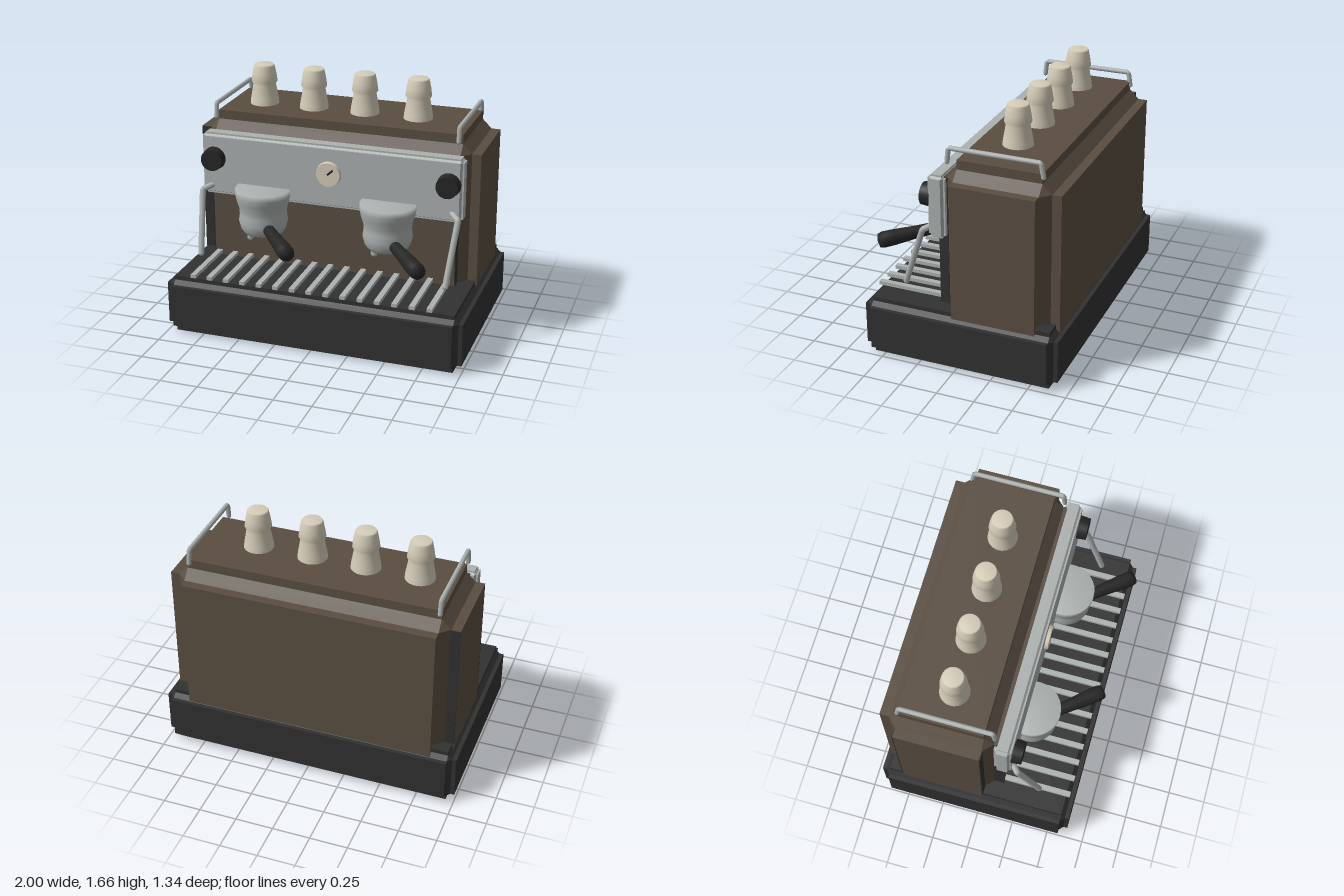
import * as THREE from 'three';
import { ConvexGeometry } from 'three/addons/geometries/ConvexGeometry.js';

const mat = (name, color) => {
  const m = new THREE.MeshStandardMaterial({ color });
  m.name = name;
  return m;
};

export function createModel() {
  const root = new THREE.Group();
  root.name = 'espressoMachine';
  const brown = mat('brown enamel', 0x5a4e42);
  const dark = mat('dark base', 0x313131);
  const steel = mat('steel', 0xacb2b1);
  const cream = mat('cream', 0xd6cdb9);
  const black = mat('black plastic', 0x262626);
  const V = (x, y, z) => new THREE.Vector3(x, y, z);

  function add(name, geometry, material, x = 0, y = 0, z = 0, parent = root) {
    const m = new THREE.Mesh(geometry, material);
    m.name = name;
    m.position.set(x, y, z);
    parent.add(m);
    return m;
  }

  // Box whose edges step inward by b, with a small chamfer inside each step
  function steppedBox(name, material, lo, hi, b) {
    const g = new THREE.Group();
    g.name = name;
    const size = hi.clone().sub(lo), mid = hi.clone().add(lo).multiplyScalar(0.5);
    const points = [];
    for (const axis of ['x', 'y', 'z']) {
      const s = size.clone().subScalar(2 * b);
      s[axis] = size[axis];
      add(name + 'Plates' + axis.toUpperCase(), new THREE.BoxGeometry(s.x, s.y, s.z), material, mid.x, mid.y, mid.z, g);
      s[axis] -= b;
      for (const i of [-0.5, 0.5]) for (const j of [-0.5, 0.5]) for (const k of [-0.5, 0.5])
        points.push(V(s.x * i, s.y * j, s.z * k));
    }
    add(name + 'Chamfer', new ConvexGeometry(points), material, mid.x, mid.y, mid.z, g);
    root.add(g);
  }

  // Round bar following straight runs between points
  function bar(name, points, r, material) {
    const path = new THREE.CurvePath();
    for (let i = 1; i < points.length; i++) path.add(new THREE.LineCurve3(points[i - 1], points[i]));
    add(name, new THREE.TubeGeometry(path, 48, r, 10), material);
    for (const p of [points[0], points[points.length - 1]])
      add(name + 'End', new THREE.SphereGeometry(r, 10, 8), material, p.x, p.y, p.z);
  }

  const lathe = (profile, n = 32) =>
    new THREE.LatheGeometry(profile.map(([r, y]) => new THREE.Vector2(r, y)), n);

  // Main housing
  steppedBox('base', dark, V(-1, 0, -0.675), V(1, 0.395, 0.63), 0.055);
  steppedBox('body', brown, V(-0.955, 0.2, -0.645), V(0.955, 1.385, 0.15), 0.122);
  steppedBox('controlPanel', steel, V(-0.885, 0.855, 0.095), V(0.885, 1.278, 0.208), 0.022);

  // Dark seams at the body corners
  for (const s of [-1, 1])
    add('frontSeam', new THREE.BoxGeometry(0.008, 0.87, 0.062), dark, s * 0.835, 0.825, 0.119);
  for (const z of [0.03, -0.525])
    add('sideSeam', new THREE.BoxGeometry(0.062, 0.87, 0.008), dark, -0.924, 0.825, z);

  // Panel knobs with pointer tabs
  for (const s of [-1, 1]) {
    const x = s * 0.795;
    add('knob', new THREE.CylinderGeometry(0.072, 0.078, 0.065, 32), black, x, 1.11, 0.238).rotation.x = Math.PI / 2;
  }

  // Pressure gauge
  add('gauge', new THREE.CylinderGeometry(0.08, 0.084, 0.025, 32), cream, 0, 1.09, 0.218).rotation.x = Math.PI / 2;
  add('gaugeNeedle', new THREE.BoxGeometry(0.05, 0.013, 0.006), black, 0.016, 1.107, 0.233).rotation.z = 0.75;

  // Brew groups, each with a spout and an angled handle
  const groupShape = lathe([[0, 0.65], [0.13, 0.65], [0.15, 0.68], [0.162, 0.73], [0.155, 0.775],
    [0.158, 0.82], [0.174, 0.87], [0.182, 0.91], [0.182, 0.95], [0, 0.95]]);
  const handleShape = lathe([[0, -0.03], [0.03, -0.02], [0.038, 0], [0.042, 0.12], [0.052, 0.27],
    [0.053, 0.33], [0.045, 0.36], [0, 0.37]], 20);
  const handleDirection = V(0.215, -0.03, 0.25).normalize();
  for (const x of [-0.447, 0.408]) {
    add('brewGroup', groupShape, steel, x, 0, 0.235);
    add('spout', new THREE.CylinderGeometry(0.024, 0.02, 0.06, 14), steel, x - 0.073, 0.635, 0.29);
    add('spoutTip', new THREE.SphereGeometry(0.022, 14, 10), steel, x - 0.073, 0.615, 0.29);
    add('handle', handleShape, black, x + 0.085, 0.71, 0.36)
      .quaternion.setFromUnitVectors(V(0, 1, 0), handleDirection);
  }

  // Steam wands and top guard rails
  for (const s of [-1, 1]) {
    bar('steamWand', [V(s * 0.81, 0.92, 0.19), V(s * 0.87, 0.895, 0.25), V(s * 0.835, 0.495, 0.39)], 0.02, steel);
    const x = s * 0.822;
    bar('guardRail', [V(x, 1.36, 0.095), V(x, 1.45, 0.085), V(x, 1.45, -0.51), V(x, 1.36, -0.525)], 0.016, steel);
  }

  // Drip tray slats
  for (let i = 0; i < 15; i++)
    add('traySlat', new THREE.BoxGeometry(0.036, 0.024, 0.46), steel, -0.803 + i * 0.1138, 0.419, 0.37);

  // Stacked cups
  const cups = lathe([[0.097, 1.383], [0.093, 1.42], [0.075, 1.52], [0.087, 1.54], [0.08, 1.59],
    [0.069, 1.645], [0.062, 1.655], [0, 1.657]]);
  for (const x of [-0.603, -0.25, 0.105, 0.47]) add('stackedCups', cups, cream, x, 0, -0.222);

  return root;
}
